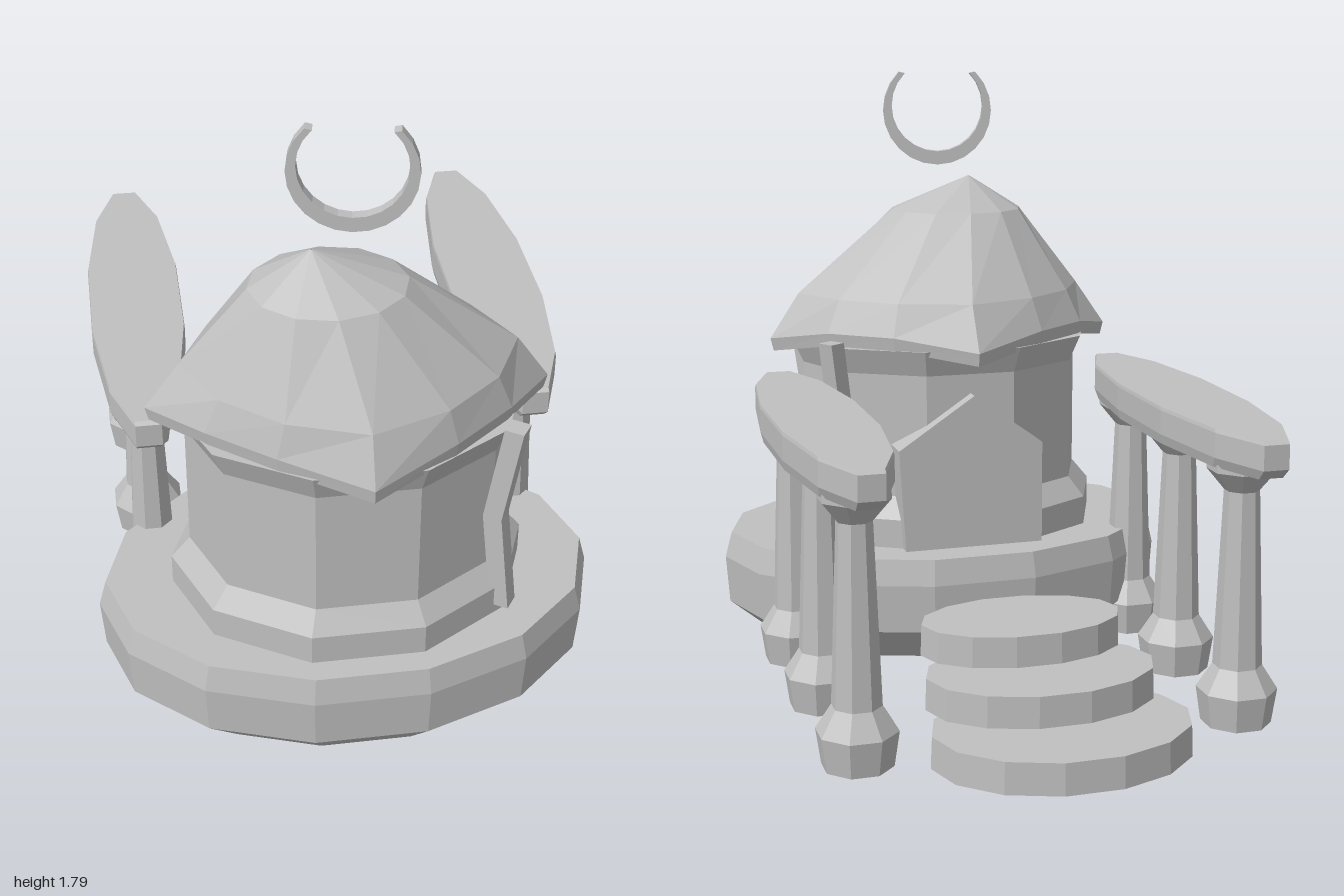
import * as THREE from 'three';

const stone = new THREE.MeshStandardMaterial({ color: 0xc0c0c0, flatShading: true, side: THREE.DoubleSide });
stone.name = 'grey stone';

function add(parent, name, geometry, x = 0, y = 0, z = 0) {
  const mesh = new THREE.Mesh(geometry, stone);
  mesh.name = name;
  mesh.position.set(x, y, z);
  parent.add(mesh);
  return mesh;
}

// Faceted turned form, [radius, y] profile, stretched to an oval in x and z
function turned(profile, sides, phi, sx = 1, sz = 1) {
  const pts = profile.map(([r, y]) => new THREE.Vector2(r, y));
  return new THREE.LatheGeometry(pts, sides, phi).scale(sx, 1, sz);
}

// Skin a stack of rings holding equal numbers of points, from bottom to top
function loft(rings) {
  const n = rings[0].length, index = [];
  for (let k = 0; k < rings.length - 1; k++) {
    for (let i = 0; i < n; i++) {
      const a = k * n + i, b = k * n + (i + 1) % n;
      index.push(a, a + n, b, b, a + n, b + n);
    }
  }
  const g = new THREE.BufferGeometry();
  g.setAttribute('position', new THREE.Float32BufferAttribute(rings.flat(2), 3));
  g.setIndex(index);
  g.computeVertexNormals();
  return g;
}

// Roof ring: four drooping corners, blending from diamond (square = 1) to oval
function roofRing(cx, cz, rx, rz, y, square, droop) {
  const ring = [];
  for (let i = 0; i < 12; i++) {
    const a = i * Math.PI / 6;
    const corner = i % 3 === 0;
    const k = corner ? 1 : 1 - 0.15 * square;
    ring.push([cx + Math.cos(a) * rx * k, y - (corner ? droop : 0), cz + Math.sin(a) * rz * k]);
  }
  return ring;
}

// Post that bows toward the tower at mid height
function bentPost() {
  const g = new THREE.BoxGeometry(0.055, 0.61, 0.055, 1, 2, 1);
  const p = g.attributes.position;
  for (let i = 0; i < p.count; i++) {
    const y = p.getY(i);
    p.setX(i, p.getX(i) + (Math.abs(y) < 0.01 ? -0.035 : y > 0 ? 0.012 : 0));
  }
  g.computeVertexNormals();
  return g;
}

export function createModel() {
  const model = new THREE.Group();
  model.name = 'shrine';
  const H = Math.PI / 2;

  // Round plinth, open underneath
  add(model, 'plinth', turned([[0.8, 0], [0.985, 0.11], [1, 0.26], [0.97, 0.34], [0, 0.34]], 14, H, 0.725, 0.51), 0, 0, 0.5);

  // Tower with flared foot and collar
  add(model, 'tower', turned([[0, 0.3], [1.12, 0.3], [1.12, 0.43], [1, 0.495], [1, 0.88], [1.08, 0.96], [0, 0.96]], 10, H, 0.455, 0.37), 0, 0, 0.52);

  // Lopsided tent roof
  add(model, 'roof', loft([
    roofRing(0, 0.52, 0.01, 0.01, 0.95, 0, 0),
    roofRing(0, 0.52, 0.55, 0.445, 0.96, 1, 0.04),
    roofRing(0, 0.52, 0.56, 0.45, 1.0, 1, 0.04),
    roofRing(0, 0.53, 0.465, 0.385, 1.1, 0.5, 0),
    roofRing(-0.065, 0.575, 0.215, 0.185, 1.35, 0, 0),
    roofRing(-0.11, 0.575, 0.002, 0.002, 1.455, 0, 0),
  ]));

  // Crescent floating over the roof, thickest at the bottom
  const crescent = new THREE.Shape();
  const steps = 18, arc = (i) => Math.PI * (0.75 + 1.5 * i / steps);
  for (let i = 0; i <= steps; i++) {
    const a = arc(i);
    crescent[i ? 'lineTo' : 'moveTo'](0.172 * Math.cos(a), 0.172 * Math.sin(a));
  }
  for (let i = steps; i >= 0; i--) {
    const a = arc(i);
    crescent.lineTo(0.145 * Math.cos(a), 0.015 + 0.145 * Math.sin(a));
  }
  const moon = new THREE.ExtrudeGeometry(crescent, { depth: 0.034, bevelEnabled: false }).translate(0, 0, -0.017);
  add(model, 'crescent', moon, 0, 1.667, 0.555).rotation.y = -0.2;

  // Gabled door slab at the back of the tower
  const door = new THREE.Shape([[-0.22, 0.34], [0.22, 0.34], [0.24, 0.66], [0, 0.82], [-0.22, 0.66]].map(([x, y]) => new THREE.Vector2(x, y)));
  add(model, 'door', new THREE.ExtrudeGeometry(door, { depth: 0.1, bevelEnabled: false }), 0, 0, 0.125);

  // Two bent posts under the eaves on the left side
  for (const [z, turn] of [[0.77, -0.6], [0.28, 0.6]]) {
    add(model, 'bentPost', bentPost(), 0.405, 0.675, z).rotation.y = turn;
  }

  // Stacked oval steps
  [[0.37, 0.275, -0.73], [0.335, 0.225, -0.54], [0.3, 0.18, -0.355]].forEach(([rx, rz, z], i) => {
    add(model, 'step', turned([[0, 0], [1, 0], [0.99, 0.09], [0, 0.09]], 14, H, rx, rz), 0, i * 0.09, z);
  });

  // Colonnades: three columns under a long oval lintel on each side
  const column = turned([[0.1, 0], [0.115, 0.1], [0.07, 0.17], [0.05, 0.68], [0.1, 0.74], [0.1, 0.765]], 8, Math.PI / 8);
  const lintel = turned([[0, 0.755], [0.95, 0.755], [1, 0.785], [1, 0.855], [0.985, 0.865], [0, 0.865]], 12, Math.PI / 12, 0.143, 0.683);
  for (const side of [-1, 1]) {
    const colonnade = new THREE.Group();
    colonnade.name = side > 0 ? 'leftColonnade' : 'rightColonnade';
    colonnade.position.x = side * 0.55;
    for (const z of [0.22, -0.19, -0.645]) add(colonnade, 'column', column, 0, 0, z);
    add(colonnade, 'lintel', lintel, 0, 0, -0.2);
    model.add(colonnade);
  }
  return model;
}
